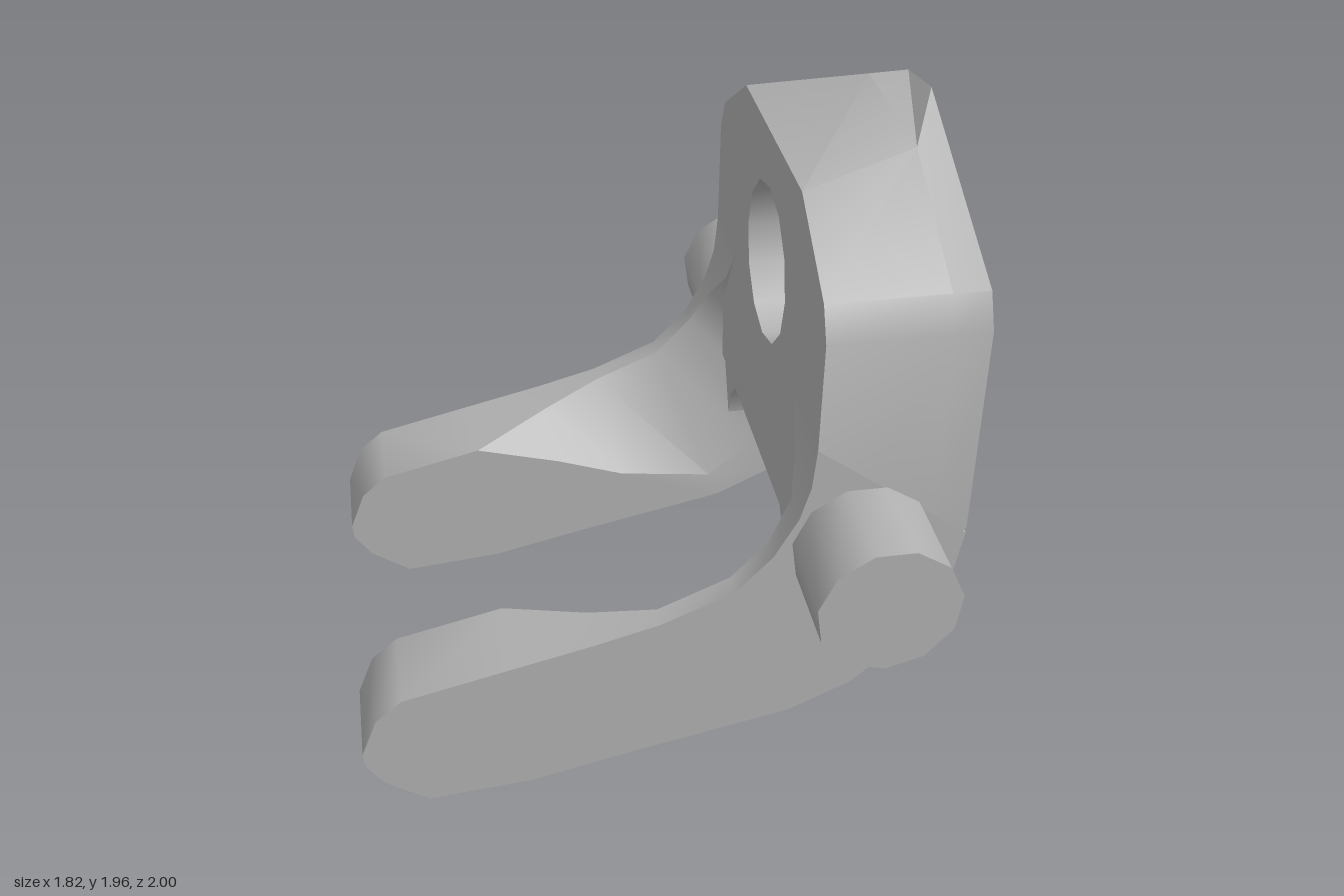
import * as THREE from 'three';
import { toCreasedNormals } from 'three/addons/utils/BufferGeometryUtils.js';

const CREASE = 0.6;
const OUTER = 0.7, INNER = 0.42;

// Fork arm stations: top x, top y, bottom x, bottom y, dish depth (0..1), inner z of the top edge
const STATIONS = [
  [-0.91, 0.22, -0.905, 0.17, 0, INNER],
  [-0.86, 0.35, -0.85, 0.09, 0, INNER],
  [-0.78, 0.42, -0.72, 0.0, 0, INNER],
  [-0.45, 0.5, -0.4, 0.03, 0, INNER],
  [-0.2, 0.56, -0.1, 0.1, 0.3, 0.55],
  [0.0, 0.615, 0.1, 0.143, 0.58, 0.63],
  [0.22, 0.71, 0.41, 0.21, 0.82, 0.63],
  [0.33, 0.83, 0.6, 0.3, 0.75, 0.63],
  [0.4, 0.96, 0.73, 0.42, 0.65, 0.6],
  [0.43, 1.07, 0.88, 0.67, 0.4, 0.5],
  [0.44, 1.2, 0.91, 0.85, 0, INNER],
];

// Loft of five-cornered sections; side = 1 or -1 mirrors it across z
function armGeometry(side) {
  const pos = [], idx = [], n = 5;
  for (const [tx, ty, bx, by, t, zt] of STATIONS) {
    const lx = tx + (bx - tx) * t, ly = ty + (by - ty) * t;
    for (const [x, y, z] of [[tx, ty, OUTER], [tx, ty, zt], [lx, ly, INNER], [bx, by, INNER], [bx, by, OUTER]]) {
      pos.push(x, y, z * side);
    }
  }
  const tri = (a, b, c) => (side > 0 ? idx.push(a, b, c) : idx.push(a, c, b));
  const last = (STATIONS.length - 1) * n;
  for (let s = 0; s < last; s += n) {
    for (let k = 0; k < n; k++) {
      const a = s + k, b = s + (k + 1) % n;
      tri(a, a + n, b + n);
      tri(a, b + n, b);
    }
  }
  for (let k = 1; k < n - 1; k++) {
    tri(0, k, k + 1);
    tri(last, last + k + 1, last + k);
  }
  const g = new THREE.BufferGeometry();
  g.setAttribute('position', new THREE.Float32BufferAttribute(pos, 3));
  g.setIndex(idx);
  return toCreasedNormals(g, CREASE);
}

// Upright plate with a hole, an uneven sloping crown and a bevelled lower edge
function plateGeometry() {
  const half = [[0.36, 1.84], [0.65, 1.65], [0.7, 1.55], [0.7, 0.73], [0.5, 0.73], [0.42, 0.57], [0.395, 0.66], [0.33, 0.73]];
  const outline = [...half, ...half.map(([z, y]) => [-z, y]).reverse()];
  const shape = new THREE.Shape(outline.map(([z, y]) => new THREE.Vector2(-z, y)));
  const hole = [];
  for (let i = 0; i < 12; i++) {
    const a = (i / 12) * Math.PI * 2;
    hole.push(new THREE.Vector2(Math.sin(a) * 0.25, 1.415 + Math.cos(a) * 0.255));
  }
  shape.holes.push(new THREE.Path(hole));
  const g = new THREE.ExtrudeGeometry(shape, { depth: 0.47, steps: 2, bevelEnabled: false });
  g.rotateY(Math.PI / 2);
  const p = g.attributes.position;
  // Crown corners [z, y] on the middle and back layers
  const crown = { mid: { left: [0.24, 1.89], right: [-0.255, 1.9] }, back: { left: [0, 1.96], right: [-0.22, 1.92] } };
  for (let i = 0; i < p.count; i++) {
    const d = p.getX(i);
    let y = p.getY(i), z = p.getZ(i);
    const layer = d < 0.1 ? null : d < 0.4 ? 'mid' : 'back';
    if (layer && y > 1.8) [z, y] = crown[layer][z > 0 ? 'left' : 'right'];
    if (layer === 'back' && y < 0.87) y = 0.87;
    p.setXYZ(i, layer === 'back' ? 0.91 : layer === 'mid' ? 0.8 : 0.44, y, z);
  }
  return toCreasedNormals(g, CREASE);
}

export function createModel() {
  const model = new THREE.Group();
  model.name = 'forkedBracket';
  const metal = new THREE.MeshStandardMaterial({ color: 0xb3b3b3 });
  metal.name = 'plainGrey';
  const add = (name, geometry) => {
    const mesh = new THREE.Mesh(geometry, metal);
    mesh.name = name;
    model.add(mesh);
    return mesh;
  };

  add('uprightPlate', plateGeometry());

  // Fork arms and side pins, front and back
  for (const [label, side] of [['front', 1], ['back', -1]]) {
    add(label + 'Arm', armGeometry(side));
    const pin = new THREE.CylinderGeometry(0.213, 0.213, 0.34, 11);
    pin.rotateX(Math.PI / 2);
    add(label + 'Pin', toCreasedNormals(pin, CREASE)).position.set(0.595, 0.843, 0.83 * side);
  }
  return model;
}
